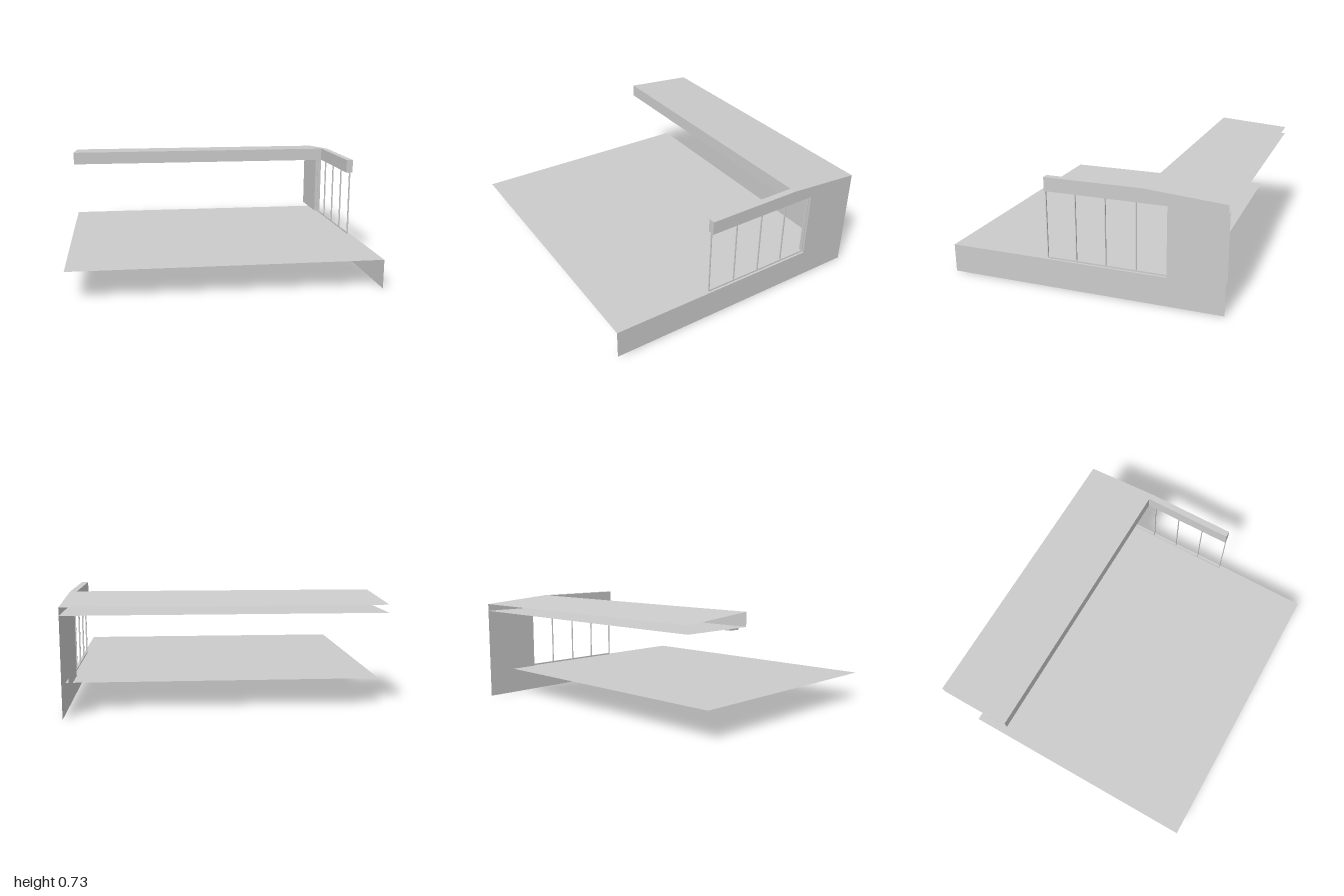
import * as THREE from 'three';

const material = new THREE.MeshStandardMaterial({ color: 0xcccccc, flatShading: true, side: THREE.DoubleSide });

// main levels and depths
const FRONT = 0.915, BACK = -0.915, FASCIA = -0.405, JAMB = -0.555, BEAM_END = 0.235;
const FLOOR = 0.19, SOFFIT = 0.64, TOP = 0.73, EAVE = 0.69, INNER = 0.955;

export function createModel() {
  const group = new THREE.Group();

  const add = (name, geometry) => {
    const mesh = new THREE.Mesh(geometry, material);
    mesh.name = name;
    group.add(mesh);
    return mesh;
  };
  // box given by its extents
  const box = (name, [x0, x1], [y0, y1], [z0, z1]) =>
    add(name, new THREE.BoxGeometry(x1 - x0, y1 - y0, z1 - z0))
      .position.set((x0 + x1) / 2, (y0 + y1) / 2, (z0 + z1) / 2);
  // flat sheet from four corners, counter-clockwise as seen from its front
  const sheet = (name, ...corners) => {
    const g = new THREE.BufferGeometry();
    g.setAttribute('position', new THREE.Float32BufferAttribute(corners.flat(), 3));
    g.setIndex([0, 1, 2, 0, 2, 3]);
    g.computeVertexNormals();
    add(name, g);
  };

  // thin floor, stopping short of the back
  sheet('floor', [-1, FLOOR, FRONT], [1, FLOOR, FRONT], [1, FLOOR, -0.745], [-1, FLOOR, -0.745]);

  // outer side wall with the window opening, drawn in (-z, y)
  const outline = [
    [FRONT, 0], [BACK, 0], [BACK, EAVE], [FASCIA, TOP], [BEAM_END, TOP],
    [BEAM_END, SOFFIT], [JAMB, SOFFIT], [JAMB, FLOOR], [FRONT, FLOOR],
  ].map(([z, y]) => new THREE.Vector2(-z, y));
  add('sideWall', new THREE.ShapeGeometry(new THREE.Shape(outline)).rotateY(Math.PI / 2).translate(1, 0, 0));

  // inner lining and jamb of the wall
  sheet('innerWall', [INNER, FLOOR, BACK], [INNER, FLOOR, JAMB], [INNER, SOFFIT, JAMB], [INNER, SOFFIT, BACK]);
  sheet('wallJamb', [INNER, FLOOR, JAMB], [1, FLOOR, JAMB], [1, SOFFIT, JAMB], [INNER, SOFFIT, JAMB]);

  // roof: sloping top, fascia and soffit, open at the back and the far end
  sheet('roofTop', [-1, TOP, FASCIA], [1, TOP, FASCIA], [1, EAVE, BACK], [-1, EAVE, BACK]);
  sheet('roofFascia', [-1, SOFFIT, FASCIA], [INNER, SOFFIT, FASCIA], [INNER, TOP, FASCIA], [-1, TOP, FASCIA]);
  sheet('soffit', [-1, SOFFIT, BACK], [1, SOFFIT, BACK], [1, SOFFIT, FASCIA], [-1, SOFFIT, FASCIA]);
  box('ceilingTrack', [-1, INNER], [0.63, SOFFIT], [JAMB, -0.48]);

  // beam over the window: inner side, top, underside and end
  sheet('beamInside', [INNER, SOFFIT, FASCIA], [INNER, SOFFIT, BEAM_END], [INNER, TOP, BEAM_END], [INNER, TOP, FASCIA]);
  sheet('beamTop', [INNER, TOP, BEAM_END], [1, TOP, BEAM_END], [1, TOP, FASCIA], [INNER, TOP, FASCIA]);
  sheet('beamUnderside', [INNER, SOFFIT, FASCIA], [1, SOFFIT, FASCIA], [1, SOFFIT, BEAM_END], [INNER, SOFFIT, BEAM_END]);
  sheet('beamEnd', [INNER, SOFFIT, BEAM_END], [1, SOFFIT, BEAM_END], [1, TOP, BEAM_END], [INNER, TOP, BEAM_END]);

  // window frame: bottom and top rails with five slim mullions
  const depth = [0.975, 0.985];
  box('windowSill', depth, [FLOOR, 0.2], [JAMB, BEAM_END]);
  box('windowHead', depth, [0.635, SOFFIT], [JAMB, BEAM_END]);
  for (let i = 0; i < 5; i++) {
    const z = 0.233 - i * 0.1965;
    box('windowMullion', depth, [0.2, 0.635], [z - 0.0025, z + 0.0025]);
  }

  return group;
}
